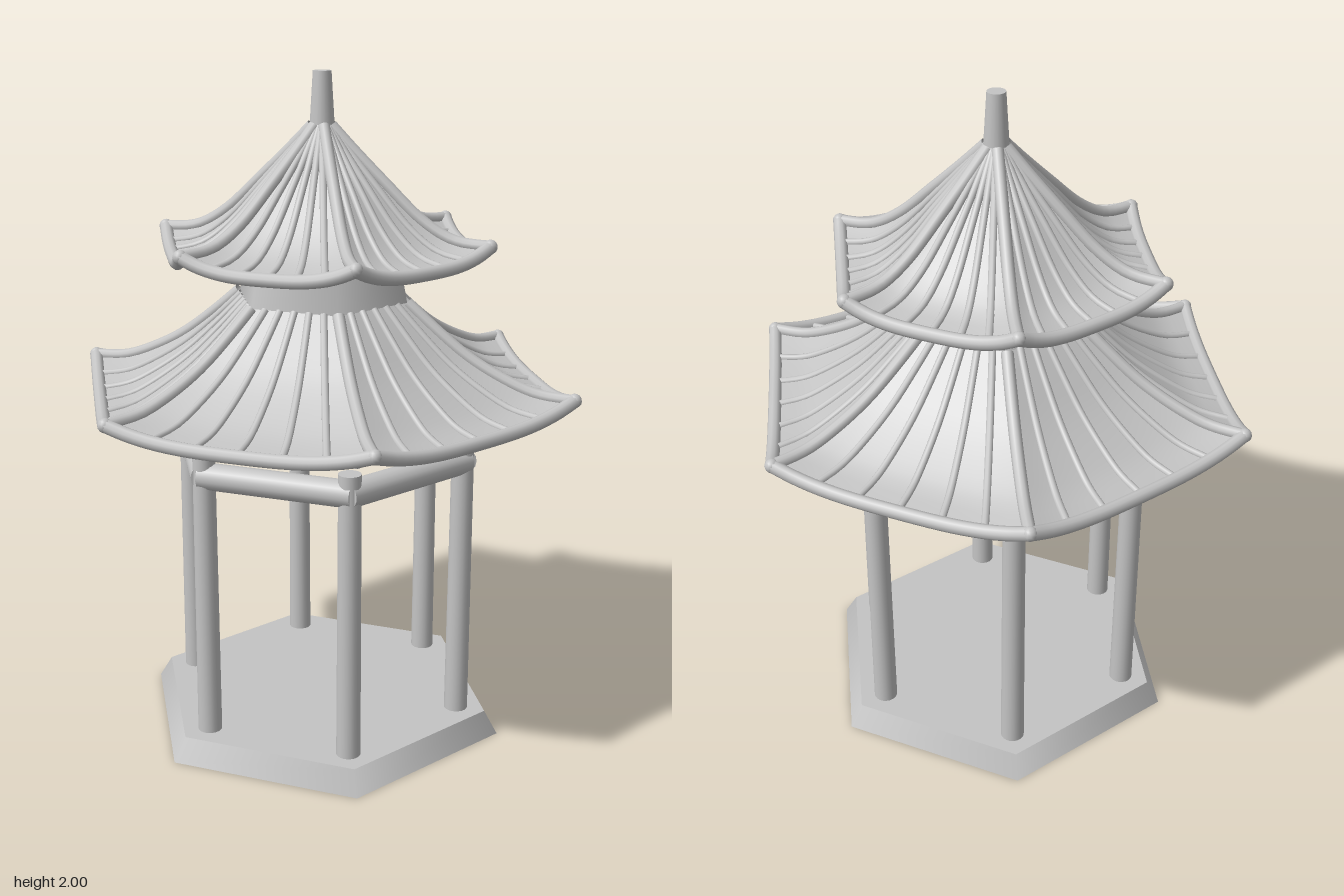
import * as THREE from 'three';

const stone = new THREE.MeshStandardMaterial({ color: 0xc4c4c4, side: THREE.DoubleSide });
stone.name = 'pale grey stone';

const SIDES = 6;

// Corner k of a hexagon with one corner pointing to the front
function corner(k, radius, y) {
  const a = (k * Math.PI * 2) / SIDES;
  return new THREE.Vector3(radius * Math.sin(a), y, radius * Math.cos(a));
}

function add(parent, name, geometry) {
  const mesh = new THREE.Mesh(geometry, stone);
  mesh.name = name;
  parent.add(mesh);
  return mesh;
}

// Upright cylinder or hexagonal frustum between two heights
function upright(parent, name, rTop, rBottom, y0, y1, sides, x = 0, z = 0) {
  const mesh = add(parent, name, new THREE.CylinderGeometry(rTop, rBottom, y1 - y0, sides));
  mesh.position.set(x, (y0 + y1) / 2, z);
}

// Round beams along the six sides of a hexagon
function beamRing(parent, name, radius, y, thickness, overhang) {
  const ring = new THREE.Group();
  ring.name = name;
  parent.add(ring);
  for (let k = 0; k < SIDES; k++) {
    const a = corner(k, radius, y);
    const b = corner(k + 1, radius, y);
    const dir = b.clone().sub(a);
    const beam = add(ring, 'beam', new THREE.CylinderGeometry(thickness, thickness, dir.length() + overhang, 16));
    beam.position.copy(a).add(b).multiplyScalar(0.5);
    beam.quaternion.setFromUnitVectors(new THREE.Vector3(0, 1, 0), dir.normalize());
  }
}

// Swept hexagonal roof: profile is the ridge line [radius, y] from eave to top
function roof(parent, name, profile, drop, ribCount) {
  const group = new THREE.Group();
  group.name = name;
  parent.add(group);
  const ridge = new THREE.SplineCurve(profile.map(([r, y]) => new THREE.Vector2(r, y)));

  // Point on face k: u runs along the eave, v from eave to top; the eave sags between corners
  const surface = (k, u, v) => {
    const p = ridge.getPoint(v);
    const point = corner(k, p.x, p.y).lerp(corner(k + 1, p.x, p.y), u);
    const s = Math.abs(2 * u - 1);
    point.y -= drop * (1 - s ** 3) * (1 - v) ** 1.5;
    return point;
  };
  const tube = (label, radius, at) => {
    const points = Array.from({ length: 15 }, (_, i) => at(i / 14));
    add(group, label, new THREE.TubeGeometry(new THREE.CatmullRomCurve3(points), 24, radius, 10));
  };

  const NU = 14, NV = 14;
  for (let k = 0; k < SIDES; k++) {
    // Tiled face
    const positions = [], index = [];
    for (let j = 0; j <= NV; j++) {
      for (let i = 0; i <= NU; i++) positions.push(...surface(k, i / NU, j / NV).toArray());
    }
    for (let j = 0; j < NV; j++) {
      for (let i = 0; i < NU; i++) {
        const a = j * (NU + 1) + i, b = a + 1, c = a + NU + 1, d = c + 1;
        index.push(a, b, d, a, d, c);
      }
    }
    const face = new THREE.BufferGeometry();
    face.setAttribute('position', new THREE.Float32BufferAttribute(positions, 3));
    face.setIndex(index);
    face.computeVertexNormals();
    add(group, 'roofFace', face);

    // Corner ridge, eave roll and the ribs between them
    tube('ridge', 0.018, (t) => surface(k, 0, t));
    tube('eave', 0.02, (t) => surface(k, t, 0));
    for (let i = 1; i <= ribCount; i++) {
      tube('rib', 0.011, (t) => surface(k, i / (ribCount + 1), t));
    }
    add(group, 'eaveCorner', new THREE.SphereGeometry(0.021, 12, 8)).position.copy(surface(k, 0, 0));
  }
}

export function createModel() {
  const model = new THREE.Group();
  model.name = 'pavilion';

  // Plinth and six columns
  upright(model, 'base', 0.535, 0.577, 0, 0.07, SIDES);
  for (let k = 0; k < SIDES; k++) {
    const p = corner(k, 0.443, 0);
    upright(model, 'column', 0.033, 0.036, 0.07, 0.94, 20, p.x, p.z);
  }

  // Beams tying the columns, and the larger ring under the eaves
  beamRing(model, 'columnBeams', 0.443, 0.88, 0.04, 0.02);
  beamRing(model, 'eaveBeams', 0.535, 1.03, 0.04, 0.02);

  // Lower roof, hexagonal drum, upper roof and spire
  roof(model, 'lowerRoof',
    [[0.765, 1.098], [0.66, 1.105], [0.56, 1.14], [0.455, 1.195], [0.36, 1.265], [0.265, 1.345]], 0.045, 5);
  upright(model, 'drum', 0.24, 0.268, 1.32, 1.465, SIDES);
  roof(model, 'upperRoof',
    [[0.505, 1.525], [0.4, 1.535], [0.3, 1.59], [0.19, 1.69], [0.1, 1.775], [0.03, 1.845]], 0.045, 5);
  upright(model, 'spire', 0.027, 0.038, 1.82, 2, 20);

  return model;
}
